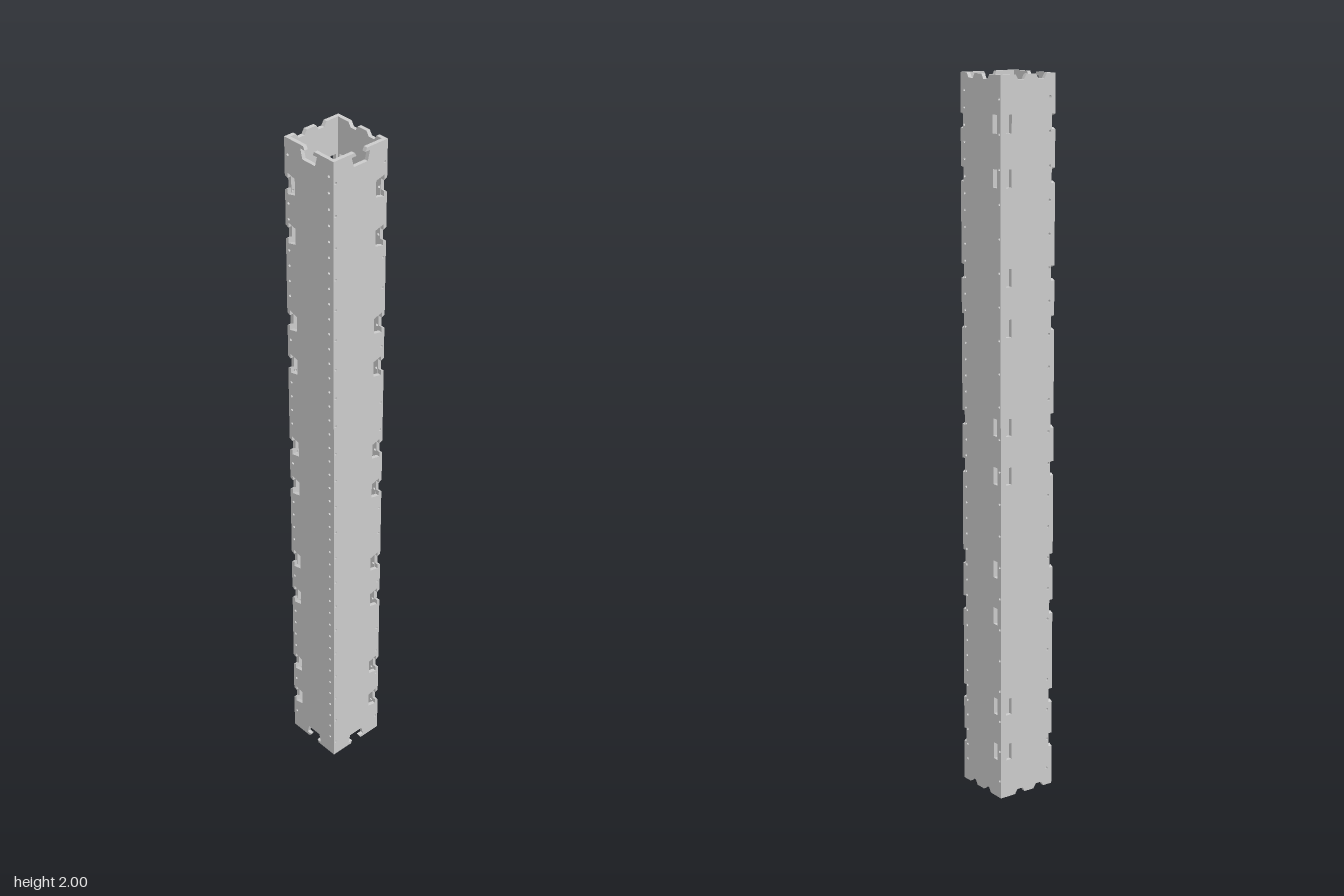
import * as THREE from 'three';

const H = 2, R = 0.089, T = 0.011;
const SLOT_Y = [0.135, 0.27, 0.535, 0.67, 0.935, 1.07, 1.34, 1.475, 1.735, 1.875];

// Keyed notch cut in from an edge: [depth, half width]
const KEY = [[0, 0.02], [0.01, 0.015], [0.01, 0.03], [0.037, 0.023]];
const keyPath = [...KEY.map(([d, w]) => [d, -w]), ...KEY.slice().reverse().map(([d, w]) => [d, w])];

// Shallow sloped notches along an end: [depth, position]
const toothPath = [
  [0, -0.04], [0.013, -0.032], [0.013, -0.014], [0, -0.006],
  [0, 0.025], [0.013, 0.033], [0.013, 0.052], [0, 0.06],
];

function addHole(shape, u, y, w, h) {
  const p = new THREE.Path();
  p.moveTo(u - w / 2, y - h / 2);
  p.lineTo(u + w / 2, y - h / 2);
  p.lineTo(u + w / 2, y + h / 2);
  p.lineTo(u - w / 2, y + h / 2);
  p.closePath();
  shape.holes.push(p);
}

function addPinHoles(shape, u, step, start, blocked) {
  for (let y = start; y < H - 0.03; y += step) {
    if (blocked.some((b) => Math.abs(b - y) < 0.038)) continue;
    const p = new THREE.Path();
    p.absarc(u, y, 0.004, 0, Math.PI * 2, true);
    shape.holes.push(p);
  }
}

// Wall outline, counter-clockwise, with end cuts and optional keyed notches on one side
function wallShape({ u0, u1, endPath, endFlip = 1, notchSide = 0 }) {
  const pts = [];
  const ends = endPath.map(([d, p]) => [d, p * endFlip]);
  if (endFlip < 0) ends.reverse();
  pts.push([u0, 0]);
  ends.forEach(([d, p]) => pts.push([p, d]));
  pts.push([u1, 0]);
  if (notchSide > 0) SLOT_Y.forEach((y) => keyPath.forEach(([d, p]) => pts.push([u1 - d, y + p])));
  pts.push([u1, H]);
  ends.slice().reverse().forEach(([d, p]) => pts.push([p, H - d]));
  pts.push([u0, H]);
  if (notchSide < 0) {
    SLOT_Y.slice().reverse().forEach((y) =>
      keyPath.slice().reverse().forEach(([d, p]) => pts.push([u0 + d, y + p])));
  }
  return new THREE.Shape(pts.map(([x, y]) => new THREE.Vector2(x, y)));
}

export function createModel() {
  const group = new THREE.Group();
  const material = new THREE.MeshStandardMaterial({ color: 0xcccccc, flatShading: true });

  const addWall = (name, shape, angle) => {
    const geo = new THREE.ExtrudeGeometry(shape, { depth: T, bevelEnabled: false, curveSegments: 4 });
    geo.translate(0, 0, R - T);
    geo.rotateY(angle);
    const mesh = new THREE.Mesh(geo, material);
    mesh.name = name;
    group.add(mesh);
  };

  // Front wall: keyed notches along its -x edge
  const front = wallShape({ u0: -R, u1: R - T, endPath: keyPath, notchSide: -1 });
  addPinHoles(front, -0.077, 0.045, 0.065, SLOT_Y);
  addPinHoles(front, 0.072, 0.045, 0.065, []);
  addWall('frontWall', front, 0);

  // Right-hand view wall: keyed notches along its rear edge
  const side = wallShape({ u0: -R, u1: R, endPath: keyPath, notchSide: 1 });
  addPinHoles(side, -0.082, 0.09, 0.05, []);
  addPinHoles(side, 0.08, 0.09, 0.05, SLOT_Y);
  addWall('leftWall', side, Math.PI / 2);

  // Back wall: rectangular slots near its -x edge, two left out
  const back = wallShape({ u0: T - R, u1: R, endPath: toothPath, endFlip: -1 });
  SLOT_Y.filter((y) => y < 1.3 || y > 1.5).forEach((y) => addHole(back, 0.064, y, 0.018, 0.048));
  addPinHoles(back, -0.072, 0.045, 0.065, []);
  addPinHoles(back, 0.083, 0.09, 0.05, []);
  addWall('backWall', back, Math.PI);

  // Opposite side wall: rectangular slots near the rear edge, two left out
  const far = wallShape({ u0: T - R, u1: R - T, endPath: toothPath });
  SLOT_Y.filter((y) => y < 0.5 || y > 0.7).forEach((y) => addHole(far, -0.062, y, 0.018, 0.048));
  addPinHoles(far, 0.072, 0.09, 0.05, []);
  addWall('rightWall', far, -Math.PI / 2);

  return group;
}
